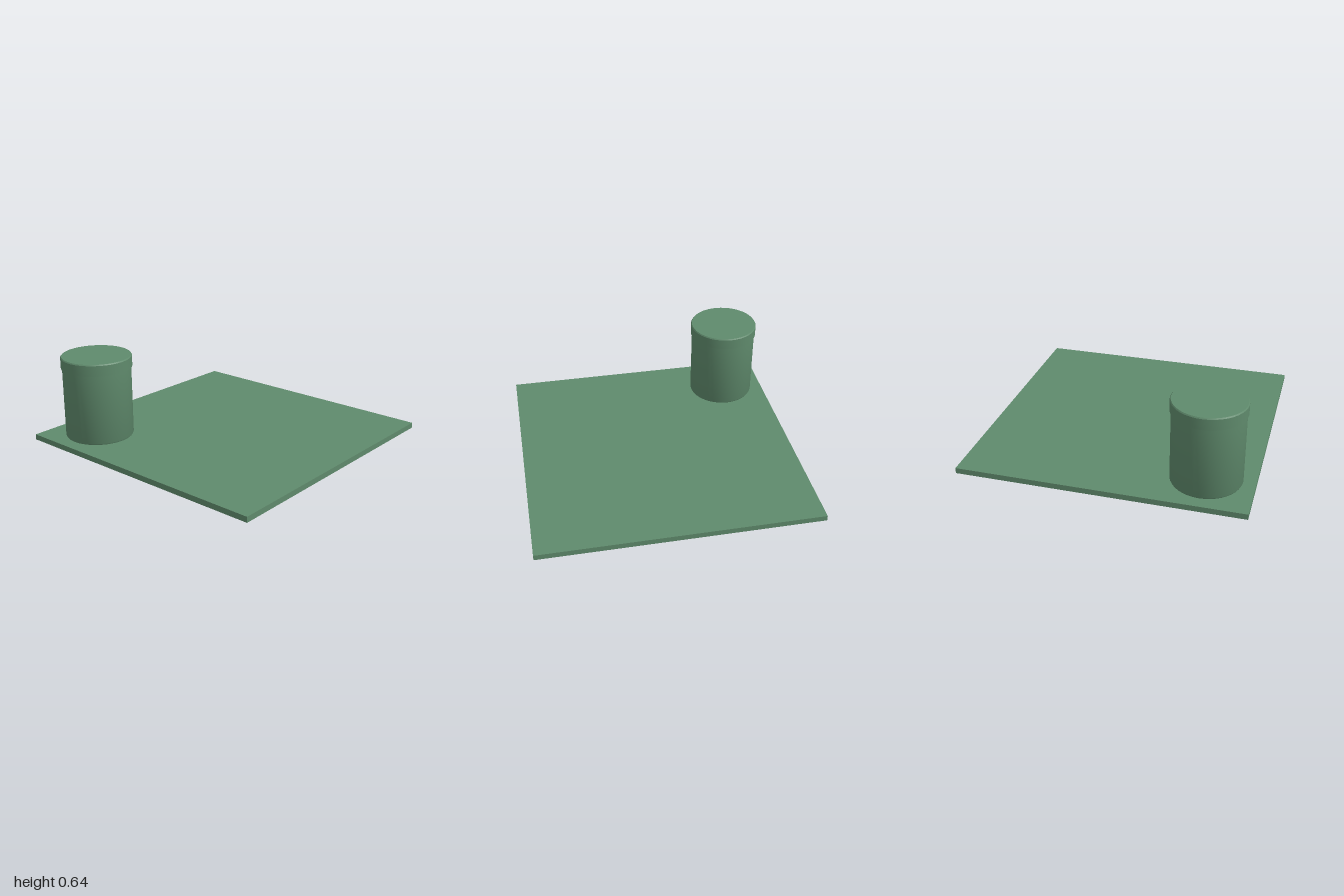
import * as THREE from 'three';
import { toCreasedNormals } from 'three/addons/utils/BufferGeometryUtils.js';

export function createModel() {
  const group = new THREE.Group();
  const green = new THREE.MeshStandardMaterial({ color: 0x5f8a6c });
  green.name = 'mutedGreen';

  // Adds a named mesh at a position
  const add = (name, geometry, x, y, z) => {
    const mesh = new THREE.Mesh(geometry, green);
    mesh.name = name;
    mesh.position.set(x, y, z);
    group.add(mesh);
  };

  // Turned part from [radius, height] points, bottom to top
  const turned = (points) => toCreasedNormals(
    new THREE.LatheGeometry(points.map(([r, y]) => new THREE.Vector2(r, y)), 40), 0.5);

  // Flat square base
  add('basePlate', new THREE.BoxGeometry(2, 0.04, 2), 0, 0.02, 0);

  // Round post in the front corner, with slightly eased foot
  add('post', turned([[0, 0.04], [0.242, 0.04], [0.247, 0.05], [0.247, 0.56], [0, 0.56]]), -0.667, 0, 0.667);

  // Overhanging cap with a small bevel on its top edge
  add('cap', turned([[0, 0.555], [0.255, 0.555], [0.255, 0.632], [0.249, 0.64], [0, 0.64]]), -0.667, 0, 0.667);

  return group;
}
